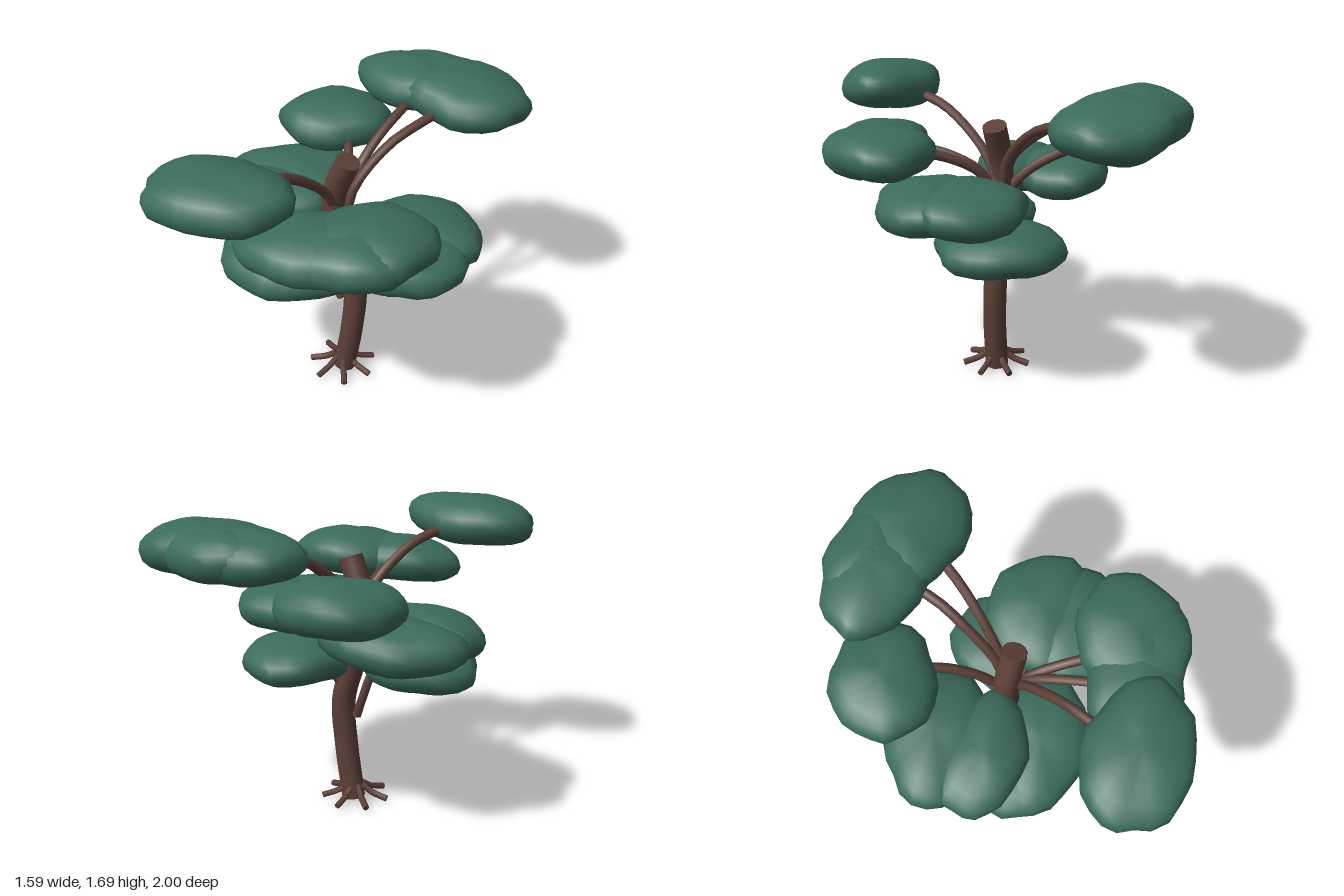
import * as THREE from 'three';
import { mergeVertices, mergeGeometries } from 'three/addons/utils/BufferGeometryUtils.js';

const V = (x, y, z) => new THREE.Vector3(x, y, z);

// Capped tube along a smooth curve
function limb(points, radius, sides = 8, segments = 12) {
  const curve = new THREE.CatmullRomCurve3(points.map(p => V(...p)));
  const parts = [new THREE.TubeGeometry(curve, segments, radius, sides)];
  for (const [t, sign] of [[0, -1], [1, 1]]) {
    const cap = new THREE.CircleGeometry(radius, sides);
    const dir = curve.getTangentAt(t).multiplyScalar(sign);
    cap.applyQuaternion(new THREE.Quaternion().setFromUnitVectors(V(0, 0, 1), dir));
    const p = curve.getPointAt(t);
    cap.translate(p.x, p.y, p.z);
    parts.push(cap);
  }
  return mergeGeometries(parts);
}

// Flattened, lumpy cushion of leaves
function cushion(rx, ry, rz, seed) {
  let g = new THREE.SphereGeometry(1, 22, 12);
  g.deleteAttribute('uv');
  g.deleteAttribute('normal');
  g = mergeVertices(g, 1e-4);
  const pos = g.attributes.position;
  for (let i = 0; i < pos.count; i++) {
    const x = pos.getX(i), y = pos.getY(i), z = pos.getZ(i);
    const flat = Math.hypot(x, z), a = Math.atan2(z, x);
    const lump = 1 + flat * (0.025 * Math.sin(3 * a + seed * 1.7)
      + 0.025 * Math.sin(5 * a + seed * 2.9) + 0.025 * Math.sin(8 * a + seed));
    const h = Math.sign(y) * Math.pow(Math.abs(y), 0.85);
    const sway = 0.08 * flat * Math.sin(3 * a + seed * 2.3);
    pos.setXYZ(i, x * lump * rx, (h + sway) * ry, z * lump * rz);
  }
  g.computeVertexNormals();
  return g;
}

export function createModel() {
  const tree = new THREE.Group();
  tree.name = 'tree';
  const bark = new THREE.MeshStandardMaterial({ name: 'bark brown', color: 0x5d4037 });
  const leaf = new THREE.MeshStandardMaterial({ name: 'leaf green', color: 0x3b6b5c });

  const add = (name, geometry, material) => {
    const mesh = new THREE.Mesh(geometry, material);
    mesh.name = name;
    tree.add(mesh);
    return mesh;
  };

  // S-shaped trunk
  add('trunk', limb([
    [-0.02, 0.015, 0.02], [0.028, 0.33, 0.02], [0.04, 0.6, 0.01], [-0.02, 0.82, 0.01],
    [-0.085, 1.0, 0.01], [-0.08, 1.2, 0.01], [0.005, 1.42, 0.025],
  ], 0.066, 12, 32), bark);

  // Short roots around the foot
  for (let i = 0; i < 7; i++) {
    const a = i / 7 * Math.PI * 2 + 0.25;
    const at = (r, y) => [-0.03 + r * Math.cos(a), y, 0.025 + r * Math.sin(a)];
    add('root', limb([at(0.04, 0.095), at(0.1, 0.055), at(0.19, 0.028)], 0.018, 6, 6), bark);
  }

  // Branches rising and flattening into the foliage
  const branches = [
    [[-0.05, 1.1, 0.03], [-0.09, 1.26, 0.11], [-0.19, 1.45, 0.33], [-0.27, 1.51, 0.5], [-0.33, 1.54, 0.66]],
    [[-0.05, 0.95, -0.02], [-0.01, 1.24, -0.06], [0.06, 1.42, -0.25], [0.12, 1.5, -0.42], [0.16, 1.53, -0.62]],
    [[-0.03, 0.95, -0.02], [0.01, 1.22, -0.04], [0.14, 1.42, -0.2], [0.27, 1.5, -0.37], [0.4, 1.54, -0.58]],
    [[-0.05, 1.0, 0], [-0.07, 1.15, -0.12], [-0.12, 1.26, -0.3], [-0.2, 1.3, -0.48]],
    [[-0.05, 0.95, 0.02], [-0.02, 1.15, 0.1], [0, 1.25, 0.28], [0.03, 1.3, 0.52]],
    [[-0.05, 0.95, 0.02], [0, 1.15, 0.1], [0.08, 1.25, 0.26], [0.18, 1.3, 0.46]],
    [[-0.04, 0.52, 0.02], [-0.08, 0.64, 0.02], [-0.13, 0.78, 0.04], [-0.22, 0.85, 0.12]],
    [[-0.06, 0.86, 0.01], [-0.13, 0.97, -0.01], [-0.22, 1.03, -0.05], [-0.36, 1.06, -0.12]],
    [[-0.02, 0.78, 0.02], [0.06, 0.93, 0.04], [0.16, 1.02, 0.07], [0.34, 1.07, 0.12]],
    [[0.02, 0.66, 0], [0.08, 0.78, -0.05], [0.2, 0.83, -0.12]],
  ];
  for (const path of branches) add('branch', limb(path, 0.026), bark);

  // Foliage: centre x, y, z, half sizes x, y, z, turn about y, tilt about z
  const pads = [
    // upper front right
    [-0.365, 1.55, 0.73, 0.375, 0.137, 0.265, 0.0, 0.06],
    // upper back
    [0.14, 1.555, -0.73, 0.36, 0.132, 0.25, -0.05, 0.0],
    [0.42, 1.55, -0.66, 0.37, 0.137, 0.29, -0.2, -0.05],
    [0.24, 1.555, -0.78, 0.34, 0.13, 0.215, -0.15, 0.0],
    // front left
    [0.31, 1.325, 0.54, 0.33, 0.135, 0.28, 0.35, 0.04],
    [0.07, 1.3, 0.63, 0.385, 0.13, 0.245, 0.2, 0.07],
    [0.27, 1.315, 0.62, 0.3, 0.13, 0.25, 0.3, 0.03],
    // back right
    [-0.3, 1.32, -0.56, 0.32, 0.137, 0.27, 0.35, 0.0],
    // middle right
    [-0.45, 1.085, 0.0, 0.345, 0.132, 0.22, 0.0, 0.05],
    [-0.42, 1.08, -0.26, 0.38, 0.135, 0.27, 0.2, 0.04],
    // middle left
    [0.4, 1.085, 0.05, 0.345, 0.135, 0.29, 0.0, 0.03],
    [0.38, 1.08, 0.27, 0.34, 0.13, 0.275, 0.15, 0.0],
    // lower right
    [-0.24, 0.85, 0.25, 0.39, 0.135, 0.25, 0.05, 0.07],
    [-0.35, 0.83, 0.17, 0.32, 0.125, 0.29, 0.0, 0.03],
    // lower left
    [0.275, 0.84, -0.07, 0.3, 0.13, 0.345, 0.0, 0.0],
  ];
  pads.forEach(([x, y, z, rx, ry, rz, turn, tilt], i) => {
    const mesh = add('foliage', cushion(rx, ry, rz, i + 1), leaf);
    mesh.position.set(x, y, z);
    mesh.rotation.set(0, turn, tilt);
  });

  return tree;
}
